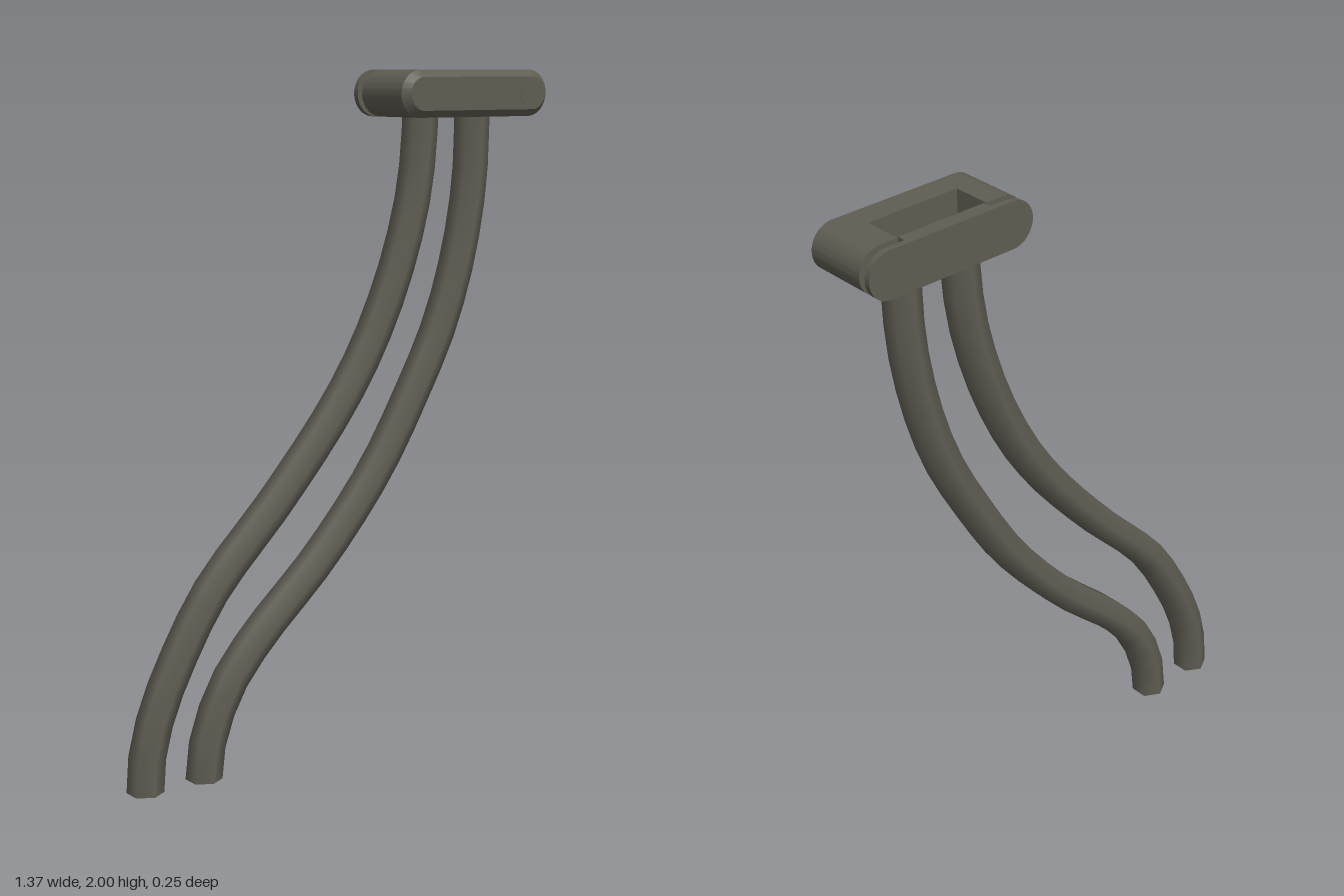
import * as THREE from 'three';
import { toCreasedNormals } from 'three/addons/utils/BufferGeometryUtils.js';

const CX = 0.4175, CY = 1.9325; // clamp centre
const R = 0.0675;               // clamp half height
const S = 0.2005;               // distance from clamp centre to each rounded end's centre

export function createModel() {
  const group = new THREE.Group();
  const metal = new THREE.MeshStandardMaterial({ color: 0x5f5c52 });
  metal.name = 'dark warm grey';
  const tubeMetal = metal.clone();
  tubeMetal.side = THREE.DoubleSide;

  const add = (name, geometry, material = metal) => {
    const mesh = new THREE.Mesh(geometry, material);
    mesh.name = name;
    group.add(mesh);
    return mesh;
  };

  // Long outline with two rounded ends
  const stadium = () => {
    const s = new THREE.Shape();
    s.moveTo(-S, -R);
    s.lineTo(S, -R);
    s.absarc(S, 0, R, -Math.PI / 2, Math.PI / 2, false);
    s.lineTo(-S, R);
    s.absarc(-S, 0, R, Math.PI / 2, Math.PI * 1.5, false);
    return s;
  };

  // Outline of one arm: rounded outside, flat towards the slot
  const armShape = (side) => {
    const s = new THREE.Shape();
    const inner = side * 0.145;
    s.moveTo(inner, -side * R);
    s.lineTo(side * S, -side * R);
    const start = side > 0 ? -Math.PI / 2 : Math.PI / 2;
    s.absarc(side * S, 0, R, start, start + Math.PI, false);
    s.lineTo(inner, side * R);
    return s;
  };

  // Extrude between two depths, with an optional chamfer on the front edge
  const slab = (shape, z0, z1, chamfer = 0) => {
    const g = new THREE.ExtrudeGeometry(shape, {
      depth: 1, steps: chamfer ? 2 : 1, bevelEnabled: false, curveSegments: 16,
    });
    const p = g.attributes.position;
    for (let i = 0; i < p.count; i++) {
      const t = p.getZ(i);
      let z = z0 + (z1 - z0) * t;
      if (chamfer && t > 0.75) {
        const spine = THREE.MathUtils.clamp(p.getX(i), -S, S);
        const k = 1 - chamfer / R;
        p.setX(i, spine + (p.getX(i) - spine) * k);
        p.setY(i, p.getY(i) * k);
      } else if (chamfer && t > 0.25) {
        z = z1 - chamfer;
      }
      p.setXYZ(i, p.getX(i) + CX, p.getY(i) + CY, z);
    }
    return toCreasedNormals(g, Math.PI / 6);
  };

  // Clamp: front wall, two arms round the slot, and the back plate with its step
  add('clampFrontWall', slab(stadium(), 0.026, 0.121, 0.02));
  add('clampBackPlate', slab(stadium(), -0.127, -0.109));
  const step = add('backPlateStep', new THREE.BoxGeometry(0.28, 2 * R, 0.025));
  step.position.set(CX, CY, -0.097);

  for (const side of [-1, 1]) {
    const label = side > 0 ? 'left' : 'right';
    add(label + 'ClampArm', slab(armShape(side), -0.088, 0.026));

    // Bolt head flush with the front, and the pin bridging the gap at the back
    const head = add(label + 'BoltHead', new THREE.CylinderGeometry(0.045, 0.045, 0.01, 24));
    head.rotation.x = Math.PI / 2;
    head.position.set(CX + side * S, CY, 0.117);
    const pin = add(label + 'BoltPin', new THREE.CylinderGeometry(0.022, 0.022, 0.03, 16));
    pin.rotation.x = Math.PI / 2;
    pin.position.set(CX + side * S, CY, -0.098);
  }

  // Two six-sided curved hoses, open at the ends
  const paths = {
    rightHose: [[-0.643, 0], [-0.641, 0.04], [-0.632, 0.12], [-0.595, 0.24], [-0.515, 0.4],
      [-0.415, 0.555], [-0.19, 0.79], [0.013, 1.03], [0.13, 1.21], [0.23, 1.43],
      [0.295, 1.66], [0.316, 1.87], [0.318, 1.92]],
    leftHose: [[-0.45, 0], [-0.448, 0.04], [-0.434, 0.115], [-0.378, 0.25], [-0.275, 0.38],
      [-0.042, 0.6], [0.156, 0.835], [0.294, 1.06], [0.39, 1.245], [0.458, 1.445],
      [0.5, 1.665], [0.509, 1.87], [0.51, 1.92]],
  };
  for (const [name, pts] of Object.entries(paths)) {
    const curve = new THREE.CatmullRomCurve3(pts.map(([x, y]) => new THREE.Vector3(x, y, -0.026)));
    const g = new THREE.TubeGeometry(curve, 22, 0.053, 6);
    const p = g.attributes.position;
    // Cut the lower end level with the ground
    for (let i = 0; i < 7; i++) p.setY(i, 0);
    add(name, g, tubeMetal);
  }

  return group;
}
